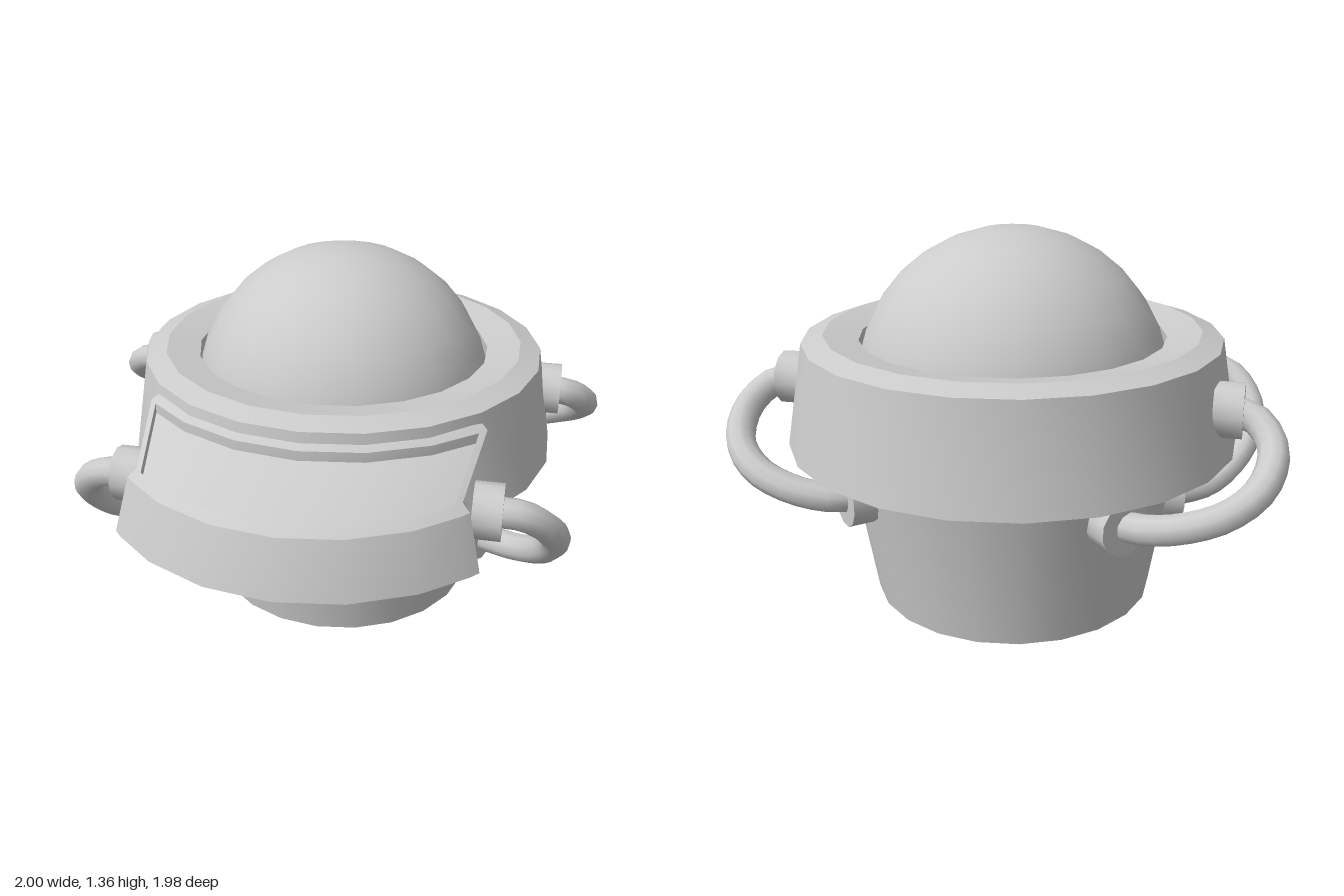
import * as THREE from 'three';
import { toCreasedNormals } from 'three/addons/utils/BufferGeometryUtils.js';

const SIDES = 22;
const BODY_Z = -0.17; // axis of the round body
const VISOR_Z = 0.17; // the visor repeats the collar's curve further forward
const material = new THREE.MeshStandardMaterial({ color: 0xcccccc, side: THREE.DoubleSide });

function add(parent, name, geometry) {
  const mesh = new THREE.Mesh(geometry, material);
  mesh.name = name;
  parent.add(mesh);
  return mesh;
}

function lathe(points) {
  const profile = points.map(([r, y]) => new THREE.Vector2(r, y));
  return toCreasedNormals(new THREE.LatheGeometry(profile, SIDES), 0.35);
}

// One visor cross-section at an angle round the curve; depth sinks the panel.
function visorSection(angle, depth) {
  const at = (r, cz, y) => new THREE.Vector3(r * Math.sin(angle), y, cz + r * Math.cos(angle));
  return [
    at(0.7, BODY_Z, 0.6),
    at(0.82, VISOR_Z, 0.585),
    at(0.76, VISOR_Z, 0.782),
    at(0.725, VISOR_Z, 0.805),
    at(0.725, VISOR_Z, 0.805 - depth),
    at(0.79, BODY_Z, 0.917 - depth),
    at(0.79, BODY_Z, 0.917),
    at(0.755, BODY_Z, 0.937),
    at(0.7, BODY_Z, 0.937),
  ];
}

function visorGeometry() {
  const step = (Math.PI * 2) / SIDES;
  const inner = 2.83; // where the side frame meets the panel
  const depth = 0.036;
  const columns = [
    [-3, 0], [-inner, 0], [-inner, depth], [-2, depth], [-1, depth], [0, depth],
    [1, depth], [2, depth], [inner, depth], [inner, 0], [3, 0],
  ].map(([k, d]) => visorSection(k * step, d));
  const verts = [];
  const tri = (...corners) => corners.forEach((p) => verts.push(p.x, p.y, p.z));
  const n = columns[0].length;
  for (let i = 0; i < columns.length - 1; i++) {
    const a = columns[i], b = columns[i + 1];
    for (let j = 0; j < n; j++) {
      const k = (j + 1) % n;
      tri(a[j], b[j], b[k]);
      tri(a[j], b[k], a[k]);
    }
  }
  // End walls
  const first = columns[0], last = columns[columns.length - 1];
  for (let j = 1; j < n - 1; j++) {
    tri(first[0], first[j], first[j + 1]);
    tri(last[0], last[j + 1], last[j]);
  }
  const geometry = new THREE.BufferGeometry();
  geometry.setAttribute('position', new THREE.Float32BufferAttribute(verts, 3));
  return toCreasedNormals(geometry, 0.35);
}

// Short collar that a hose plugs into, running from one point to another
function addSocket(parent, name, from, to) {
  const a = new THREE.Vector3(...from), b = new THREE.Vector3(...to);
  const axis = b.clone().sub(a);
  const geometry = new THREE.CylinderGeometry(0.098, 0.098, axis.length(), 12);
  const mesh = add(parent, name, toCreasedNormals(geometry, 0.7));
  mesh.position.copy(a).add(b).multiplyScalar(0.5);
  mesh.quaternion.setFromUnitVectors(new THREE.Vector3(0, 1, 0), axis.normalize());
}

// Hoses of the left side; the right side mirrors x
const HOSES = [
  {
    name: 'frontHose',
    upper: [[0.575, 0.7, 0.51], [0.675, 0.7, 0.51]],
    lower: [[0.5, 0.31, 0.015], [0.605, 0.31, 0.055]],
    path: [
      [0.62, 0.7, 0.51], [0.74, 0.69, 0.5], [0.83, 0.61, 0.44], [0.86, 0.52, 0.36],
      [0.82, 0.41, 0.26], [0.72, 0.33, 0.14], [0.57, 0.305, 0.045],
    ],
  },
  {
    name: 'rearHose',
    upper: [[0.74, 0.79, -0.315], [0.84, 0.79, -0.315]],
    lower: [[0.42, 0.455, -0.55], [0.495, 0.455, -0.62]],
    path: [
      [0.79, 0.79, -0.315], [0.88, 0.77, -0.33], [0.945, 0.7, -0.41], [0.92, 0.61, -0.54],
      [0.82, 0.54, -0.625], [0.68, 0.49, -0.65], [0.54, 0.46, -0.625], [0.46, 0.455, -0.58],
    ],
  },
];

function createHose(hose, side) {
  const group = new THREE.Group();
  group.name = (side > 0 ? 'left ' : 'right ') + hose.name;
  const flip = ([x, y, z]) => [x * side, y, z];
  const curve = new THREE.CatmullRomCurve3(hose.path.map((p) => new THREE.Vector3(...flip(p))));
  add(group, 'hose', new THREE.TubeGeometry(curve, 18, 0.053, 10));
  addSocket(group, 'upperSocket', ...hose.upper.map(flip));
  addSocket(group, 'lowerSocket', ...hose.lower.map(flip));
  return group;
}

export function createModel() {
  const model = new THREE.Group();
  model.name = 'domedHelmet';

  const body = new THREE.Group();
  body.name = 'body';
  body.position.z = BODY_Z;
  model.add(body);

  // Open tapered base
  add(body, 'base', lathe([[0.52, 0], [0.622, 0.6]]));

  // Wide collar with a raised, inward-sloping rim
  add(body, 'collar', lathe([
    [0.62, 0.6], [0.82, 0.6], [0.757, 0.97], [0.68, 0.996], [0.555, 0.972], [0.555, 0.9],
  ]));

  // Dome
  const dome = add(body, 'dome',
    new THREE.SphereGeometry(0.57, SIDES, 8, 0, Math.PI * 2, 0, Math.PI / 2));
  dome.rotation.y = Math.PI / 2;
  dome.position.y = 0.79;

  // Visor with a sunken panel
  add(model, 'visor', visorGeometry());

  for (const hose of HOSES) {
    for (const side of [1, -1]) model.add(createHose(hose, side));
  }
  return model;
}
